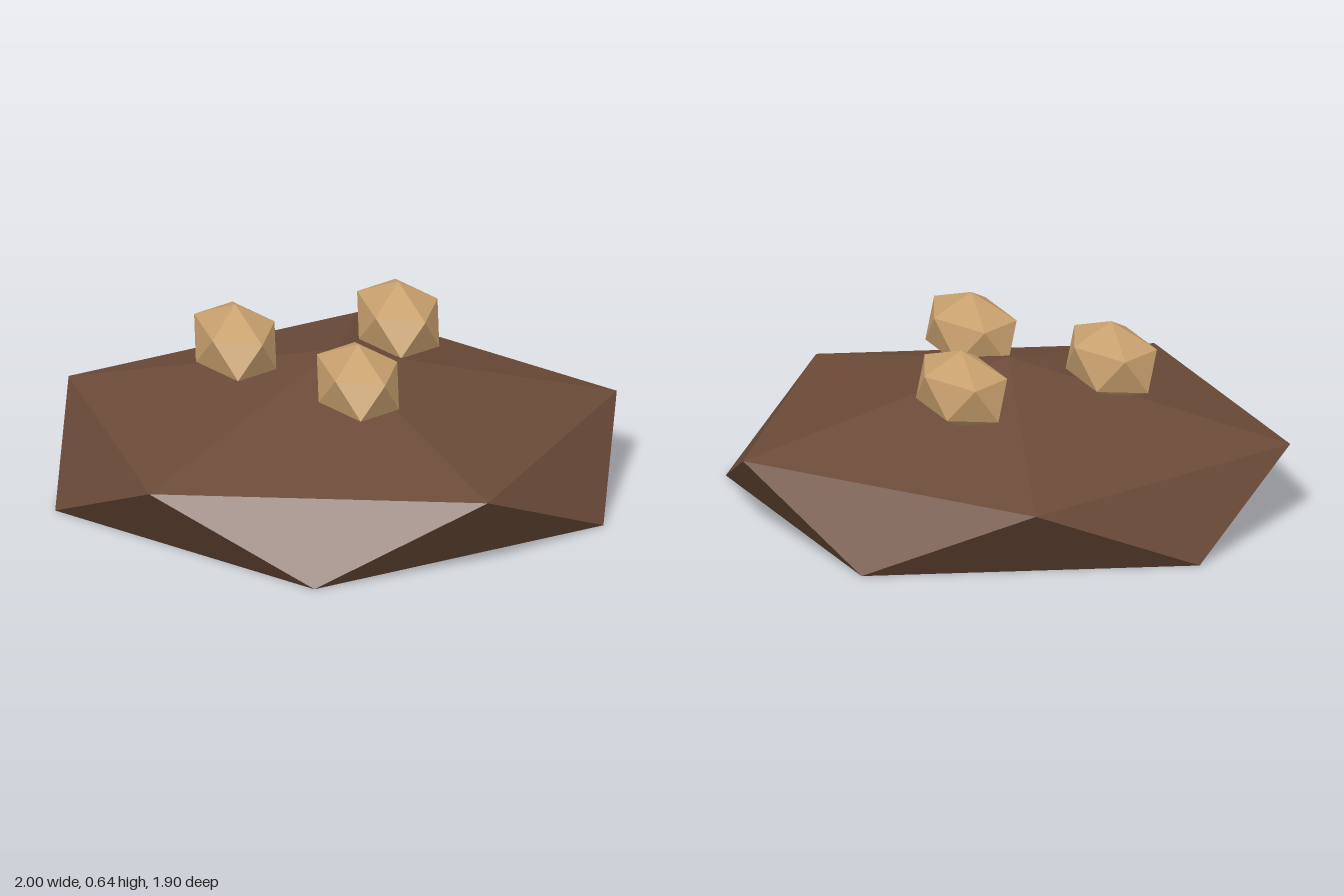
import * as THREE from 'three';

// Twenty-sided faceted solid: two staggered five-point rings between two poles.
// heights = [top pole, upper ring, lower ring, bottom pole]
function facetedSolid(rx, rz, heights) {
  const [top, upper, lower, bottom] = heights;
  const pole = y => [0, y, 0];
  const ring = (y, step) => {
    const a = step * Math.PI * 2 / 5;
    return [rx * Math.cos(a), y, rz * Math.sin(a)];
  };
  const p = [];
  for (let i = 0; i < 5; i++) {
    const u0 = ring(upper, i), u1 = ring(upper, i + 1);
    const l0 = ring(lower, i + 0.5), l1 = ring(lower, i + 1.5);
    p.push(...pole(top), ...u1, ...u0);
    p.push(...u0, ...u1, ...l0);
    p.push(...l0, ...u1, ...l1);
    p.push(...pole(bottom), ...l0, ...l1);
  }
  const g = new THREE.BufferGeometry();
  g.setAttribute('position', new THREE.Float32BufferAttribute(p, 3));
  g.computeVertexNormals();
  return g;
}

export function createModel() {
  const soil = new THREE.MeshStandardMaterial({ color: 0x6b4a38, flatShading: true });
  soil.name = 'dark brown';
  const tan = new THREE.MeshStandardMaterial({ color: 0xc8a06e, flatShading: true });
  tan.name = 'tan';

  const model = new THREE.Group();
  model.name = 'moundWithLumps';

  // Low mound with a flat underside
  const mound = new THREE.Mesh(facetedSolid(1, 1, [0.507, 0.262, 0, 0]), soil);
  mound.name = 'mound';
  model.add(mound);

  // Three long lumps resting on top
  const lumpGeometry = facetedSolid(0.14, 0.231, [0.139, 0.062, -0.062, -0.139]);
  [[0, 0.32], [0.28, -0.24], [-0.32, -0.16]].forEach(([x, z], i) => {
    const lump = new THREE.Mesh(lumpGeometry, tan);
    lump.name = `lump${i + 1}`;
    lump.position.set(x, 0.505, z);
    model.add(lump);
  });
  return model;
}
